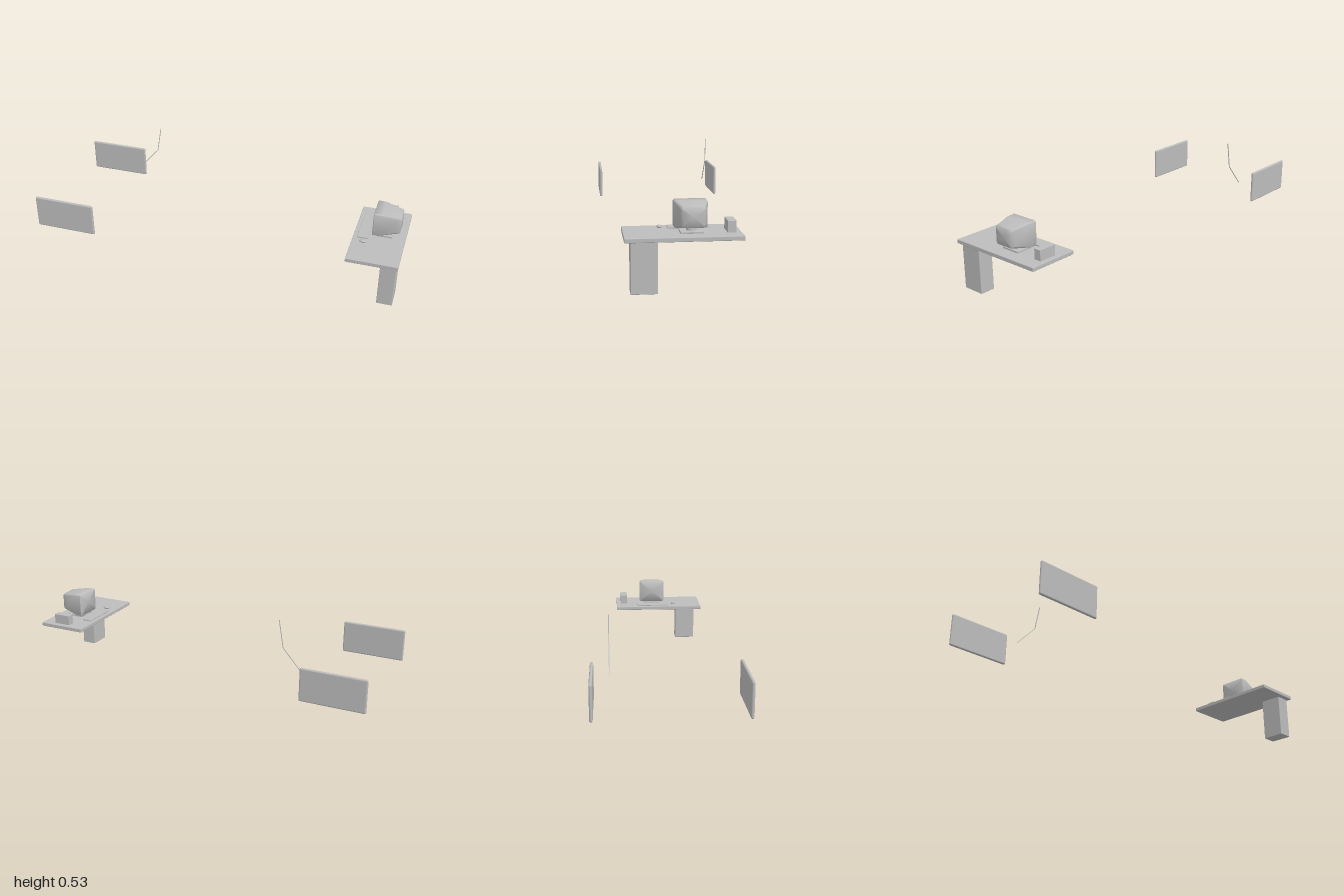
import * as THREE from 'three';
import { RoundedBoxGeometry } from 'three/addons/geometries/RoundedBoxGeometry.js';
import { mergeVertices, toCreasedNormals } from 'three/addons/utils/BufferGeometryUtils.js';

export function createModel() {
  const model = new THREE.Group();
  const gray = new THREE.MeshStandardMaterial({ color: 0xbcbcbc });
  gray.name = 'plain gray';

  const add = (name, geometry) => {
    const mesh = new THREE.Mesh(geometry, gray);
    mesh.name = name;
    model.add(mesh);
    return mesh;
  };

  // Box given by its limits on each axis, with softened edges when r > 0
  const box = (name, [x0, x1], [y0, y1], [z0, z1], r = 0) => {
    const size = [x1 - x0, y1 - y0, z1 - z0];
    const g = r ? new RoundedBoxGeometry(...size, 3, r) : new THREE.BoxGeometry(...size);
    add(name, g).position.set((x0 + x1) / 2, (y0 + y1) / 2, (z0 + z1) / 2);
  };

  // Desk
  box('desktop', [0.73, 1], [0.239, 0.26], [-0.23, 0.313], 0.003);
  box('deskPedestal', [0.908, 0.99], [0, 0.24], [0.163, 0.286], 0.003);

  // Things on the desk
  box('keyboard', [0.752, 0.808], [0.259, 0.267], [-0.094, 0.1], 0.002);
  box('monitorBase', [0.838, 0.93], [0.259, 0.269], [-0.053, 0.054], 0.002);
  box('smallBox', [0.828, 0.925], [0.259, 0.315], [-0.203, -0.163], 0.001);
  const mouse = add('mouse', new THREE.SphereGeometry(1, 20, 12));
  mouse.scale.set(0.019, 0.008, 0.012);
  mouse.position.set(0.79, 0.268, 0.138);
  const neck = add('monitorNeck', new THREE.CylinderGeometry(0.022, 0.025, 0.024, 20));
  neck.position.set(0.885, 0.275, 0);

  // Monitor housing: rounded rectangles along x, each [x, bottom, top, half width, corner]
  const sections = [
    [0.826, 0.277, 0.402, 0.075, 0.008],
    [0.829, 0.274, 0.405, 0.079, 0.01],
    [0.87, 0.276, 0.404, 0.078, 0.011],
    [0.95, 0.291, 0.392, 0.058, 0.012],
    [0.963, 0.294, 0.389, 0.055, 0.012],
    [0.968, 0.299, 0.384, 0.05, 0.01],
  ];
  const ring = ([x, y0, y1, w, r]) => {
    const points = [];
    for (let corner = 0; corner < 4; corner++) {
      for (let i = 0; i <= 4; i++) {
        const a = (corner + i / 4) * Math.PI / 2;
        const sz = corner === 0 || corner === 3 ? 1 : -1;
        const top = corner < 2;
        points.push([x, (top ? y1 - r : y0 + r) + r * Math.sin(a), sz * (w - r) + r * Math.cos(a)]);
      }
    }
    return points;
  };
  const rings = sections.map(ring);
  const n = rings[0].length;
  const positions = [];
  const tri = (...corners) => corners.forEach((p) => positions.push(...p));
  for (let s = 0; s < rings.length - 1; s++) {
    for (let i = 0; i < n; i++) {
      const j = (i + 1) % n;
      const [a, b, c, d] = [rings[s][i], rings[s][j], rings[s + 1][j], rings[s + 1][i]];
      tri(a, b, c);
      tri(a, c, d);
    }
  }
  // Screen face and rear face
  const middle = ([x, y0, y1]) => [x, (y0 + y1) / 2, 0];
  const last = rings.length - 1;
  for (let i = 0; i < n; i++) {
    const j = (i + 1) % n;
    tri(middle(sections[0]), rings[0][j], rings[0][i]);
    tri(middle(sections[last]), rings[last][i], rings[last][j]);
  }
  // Wind the faces outward whatever the direction of the rings
  let volume = 0;
  const [a, b, c] = [new THREE.Vector3(), new THREE.Vector3(), new THREE.Vector3()];
  for (let i = 0; i < positions.length; i += 9) {
    a.fromArray(positions, i);
    b.fromArray(positions, i + 3);
    c.fromArray(positions, i + 6);
    volume += a.dot(b.cross(c));
  }
  if (volume < 0) {
    for (let i = 0; i < positions.length; i += 9) {
      const second = positions.slice(i + 3, i + 6);
      for (let k = 0; k < 3; k++) {
        positions[i + 3 + k] = positions[i + 6 + k];
        positions[i + 6 + k] = second[k];
      }
    }
  }
  const housing = new THREE.BufferGeometry();
  housing.setAttribute('position', new THREE.Float32BufferAttribute(positions, 3));
  add('monitorHousing', toCreasedNormals(mergeVertices(housing), 0.9));

  // Pair of side panels with fully rounded edges
  for (const side of [1, -1]) {
    const z = side * 0.365;
    box(side > 0 ? 'frontPanel' : 'rearPanel', [-1, -0.655], [0.157, 0.336], [z - 0.008, z + 0.008], 0.0078);
  }

  // Bent thin rod beside the rear panel
  const bend = [[-0.645, 0.262], [-0.533, 0.388], [-0.508, 0.532]];
  for (let i = 0; i < 2; i++) {
    const [[x0, y0], [x1, y1]] = [bend[i], bend[i + 1]];
    const rod = add(i ? 'upperRod' : 'lowerRod',
      new THREE.BoxGeometry(0.003, Math.hypot(x1 - x0, y1 - y0), 0.004));
    rod.position.set((x0 + x1) / 2, (y0 + y1) / 2, -0.281);
    rod.rotation.z = -Math.atan2(x1 - x0, y1 - y0);
  }
  return model;
}
